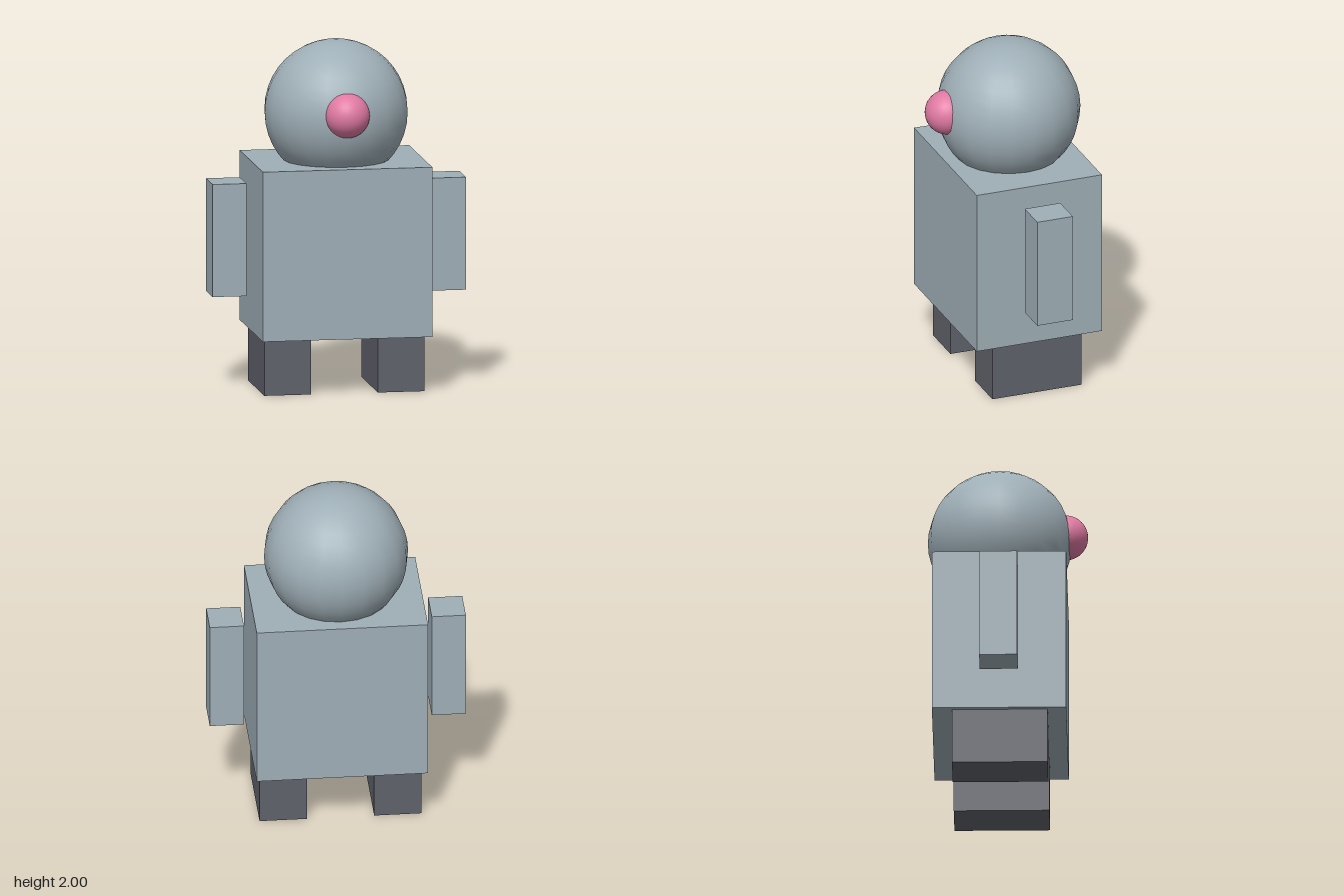
import * as THREE from 'three';

export function createModel() {
  const group = new THREE.Group();
  const material = (name, color) => {
    const m = new THREE.MeshStandardMaterial({ color });
    m.name = name;
    return m;
  };
  const greyBlue = material('greyBlue', 0x9fafb7);
  const darkGrey = material('darkGrey', 0x60626b);
  const pink = material('pink', 0xe07aa3);

  const add = (name, geometry, mat, x, y, z) => {
    const mesh = new THREE.Mesh(geometry, mat);
    mesh.name = name;
    mesh.position.set(x, y, z);
    group.add(mesh);
  };

  // Torso
  add('torso', new THREE.BoxGeometry(0.98, 0.98, 0.765), greyBlue, 0, 0.82, -0.044);

  // Head and round nose
  add('head', new THREE.SphereGeometry(0.412, 20, 20), greyBlue, 0, 1.588, -0.045);
  add('nose', new THREE.SphereGeometry(0.128, 32, 24), pink, 0, 1.62, 0.328);

  // Detached arms and legs, mirrored across x
  for (const [side, s] of [['left', 1], ['right', -1]]) {
    add(side + 'Arm', new THREE.BoxGeometry(0.195, 0.65, 0.217), greyBlue, s * 0.635, 0.875, -0.045);
    add(side + 'Leg', new THREE.BoxGeometry(0.27, 0.33, 0.545), darkGrey, s * 0.328, 0.165, -0.04);
  }
  return group;
}
